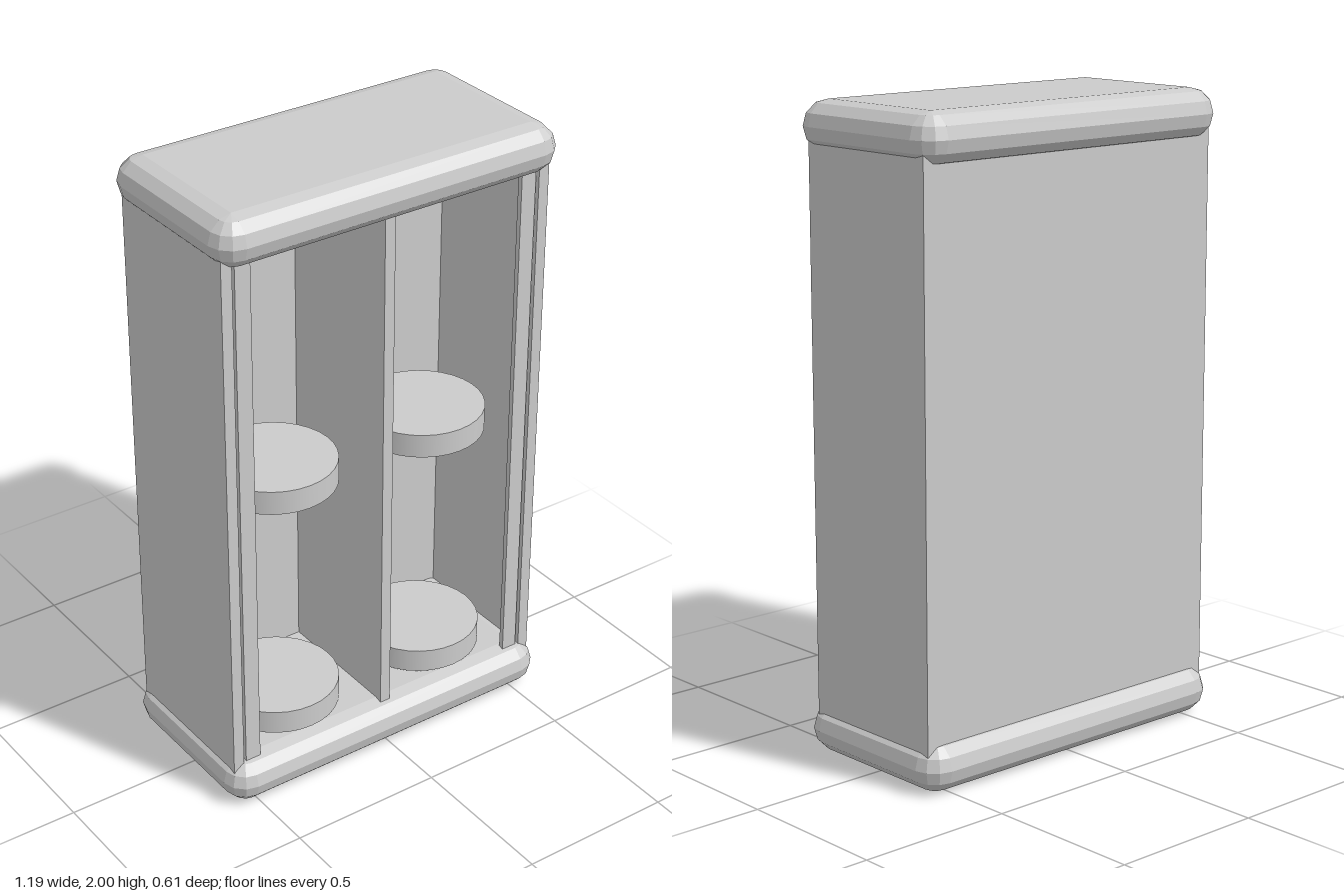
import * as THREE from 'three';
import { ConvexGeometry } from 'three/addons/geometries/ConvexGeometry.js';

const flat = new THREE.MeshStandardMaterial({ color: 0xcccccc, flatShading: true });
const smooth = new THREE.MeshStandardMaterial({ color: 0xcccccc });

// Slab with fully rounded edges, three facets per quarter turn
function slabGeometry(width, height, depth) {
  const r = height / 2, steps = 3, points = [];
  for (const sx of [-1, 1]) for (const sy of [-1, 1]) for (const sz of [-1, 1]) {
    const cx = sx * (width / 2 - r), cz = sz * (depth / 2 - r);
    points.push(new THREE.Vector3(cx, sy * r, cz));
    for (let i = 0; i < steps; i++) {
      if (i === 0 && sy < 0) continue;
      const lat = (i / steps) * Math.PI / 2;
      for (let j = 0; j <= steps; j++) {
        const lon = (j / steps) * Math.PI / 2;
        points.push(new THREE.Vector3(
          cx + sx * r * Math.cos(lat) * Math.cos(lon),
          sy * r * Math.sin(lat),
          cz + sz * r * Math.cos(lat) * Math.sin(lon)));
      }
    }
  }
  return new ConvexGeometry(points);
}

export function createModel() {
  const model = new THREE.Group();
  model.name = 'displayCabinet';

  const add = (name, geometry, material, x, y, z) => {
    const mesh = new THREE.Mesh(geometry, material);
    mesh.name = name;
    mesh.position.set(x, y, z);
    model.add(mesh);
  };
  // Upright board given by its x and z limits, ending inside both slabs
  const board = (name, x0, x1, z0, z1) => add(name,
    new THREE.BoxGeometry(x1 - x0, 1.8, z1 - z0), flat, (x0 + x1) / 2, 1, (z0 + z1) / 2);

  // Rounded base and top
  const slab = slabGeometry(1.19, 0.155, 0.61);
  add('base', slab, flat, 0, 0.0775, 0);
  add('top', slab, flat, 0, 1.9225, 0);

  // Back and centre divider
  board('backPanel', -0.573, 0.573, -0.26, -0.205);
  board('divider', -0.018, 0.018, -0.205, 0.252);

  // Sides, front posts and round shelves
  const disc = new THREE.CylinderGeometry(0.2, 0.2, 0.078, 32);
  for (const [side, s] of [['left', 1], ['right', -1]]) {
    const mirrored = (name, a, b, z0, z1) =>
      board(side + name, Math.min(s * a, s * b), Math.max(s * a, s * b), z0, z1);
    mirrored('SidePanel', 0.537, 0.573, -0.205, 0.255);
    mirrored('FrontPost', 0.475, 0.527, 0.235, 0.252);
    add(side + 'LowerShelf', disc, smooth, s * 0.277, 0.207, 0.045);
    add(side + 'UpperShelf', disc, smooth, s * 0.277, 1.013, 0.045);
  }
  return model;
}
